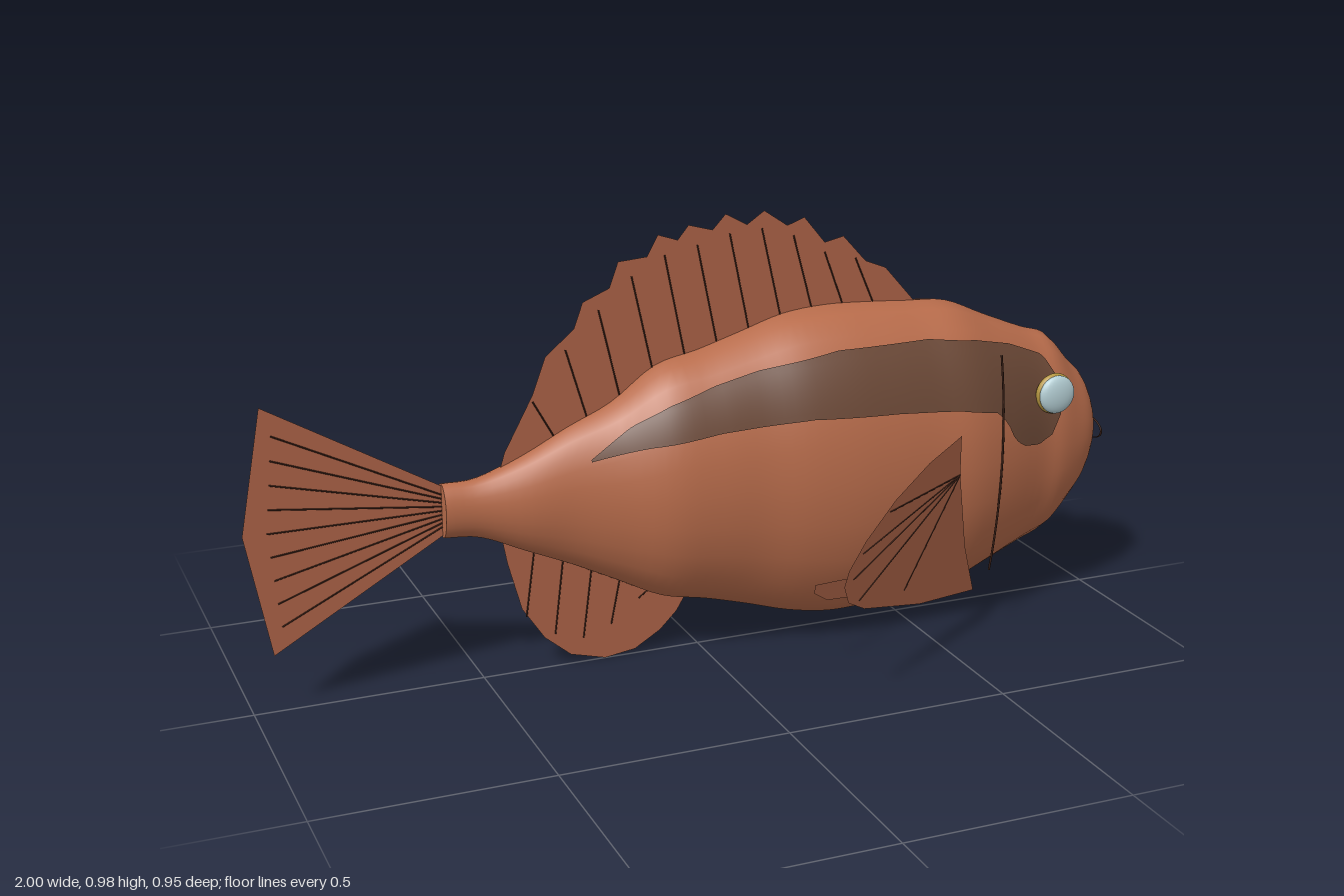
import * as THREE from 'three';

const mat = (name, color, side = THREE.FrontSide) => {
  const m = new THREE.MeshStandardMaterial({ color, side });
  m.name = name;
  return m;
};

// Body stations: x, top y, bottom y, half width
const STATIONS = [
  [-0.58, 0.46, 0.34, 0.035], [-0.5, 0.463, 0.33, 0.04], [-0.4, 0.5, 0.285, 0.06],
  [-0.3, 0.55, 0.24, 0.075], [-0.2, 0.595, 0.19, 0.105], [-0.1, 0.665, 0.14, 0.145],
  [0, 0.69, 0.118, 0.16], [0.1, 0.72, 0.09, 0.17], [0.2, 0.75, 0.06, 0.19],
  [0.3, 0.76, 0.043, 0.2], [0.4, 0.757, 0.045, 0.2], [0.5, 0.75, 0.053, 0.196],
  [0.6, 0.742, 0.062, 0.195], [0.7, 0.7, 0.1, 0.168], [0.8, 0.66, 0.14, 0.132],
  [0.86, 0.64, 0.165, 0.123], [0.91, 0.585, 0.215, 0.105], [0.95, 0.545, 0.265, 0.085],
  [0.975, 0.495, 0.32, 0.06], [0.985, 0.45, 0.355, 0.035],
];
const STEPS = 76, SIDES = 24;

const sampleCurve = (pick) => new THREE.CatmullRomCurve3(
  STATIONS.map(pick), false, 'catmullrom', 0.5).getPoints(STEPS);
const heights = sampleCurve(s => new THREE.Vector3(s[0], s[1], s[2]));
const widths = sampleCurve(s => new THREE.Vector3(s[0], s[3], 0));
const RINGS = heights.map((h, i) => [h.x, h.y, h.z, widths[i].y]);

// Linear lookup in rows sorted by their first value
function lookup(rows, x, k = 1) {
  let i = 1;
  while (i < rows.length - 1 && rows[i][0] < x) i++;
  const a = rows[i - 1], b = rows[i];
  const t = THREE.MathUtils.clamp((x - a[0]) / (b[0] - a[0]), 0, 1);
  return a[k] + (b[k] - a[k]) * t;
}

function meshGeometry(pos, idx) {
  const g = new THREE.BufferGeometry();
  g.setAttribute('position', new THREE.Float32BufferAttribute(pos, 3));
  g.setIndex(idx);
  g.computeVertexNormals();
  return g;
}

// Oval rings lofted along x, closed at the snout
function bodyGeometry() {
  const pos = [], idx = [];
  for (const [x, top, bot, w] of RINGS) {
    for (let j = 0; j < SIDES; j++) {
      const a = j / SIDES * Math.PI * 2;
      pos.push(x, (top + bot) / 2 + (top - bot) / 2 * Math.cos(a), w * Math.sin(a));
    }
  }
  for (let i = 0; i < RINGS.length - 1; i++) for (let j = 0; j < SIDES; j++) {
    const k = (j + 1) % SIDES, a = i * SIDES + j, b = i * SIDES + k;
    idx.push(a, b, a + SIDES, b, b + SIDES, a + SIDES);
  }
  const last = (RINGS.length - 1) * SIDES, tip = RINGS.length * SIDES;
  pos.push(0.99, 0.4, 0);
  for (let j = 0; j < SIDES; j++) idx.push(last + j, last + (j + 1) % SIDES, tip);
  return meshGeometry(pos, idx);
}

// Side band lying just over the skin, widening down around the eye
const BAND_TOP = [[-0.27, 0.495], [-0.18, 0.56], [-0.1, 0.602], [0, 0.635], [0.1, 0.66],
  [0.28, 0.69], [0.5, 0.69], [0.62, 0.675], [0.72, 0.65], [0.815, 0.612], [0.845, 0.56]];
const BAND_LOW = [[-0.27, 0.49], [-0.15, 0.518], [0, 0.542], [0.2, 0.557], [0.4, 0.55],
  [0.55, 0.538], [0.65, 0.52], [0.68, 0.49], [0.7, 0.45], [0.73, 0.428], [0.78, 0.42],
  [0.82, 0.435], [0.845, 0.48]];
function bandGeometry(side) {
  const pos = [], idx = [], cols = 90, rows = 8;
  for (let i = 0; i <= cols; i++) {
    const x = -0.27 + 1.115 * i / cols;
    const top = lookup(RINGS, x), bot = lookup(RINGS, x, 2), w = lookup(RINGS, x, 3) + 0.004;
    const y0 = lookup(BAND_LOW, x), y1 = lookup(BAND_TOP, x);
    for (let j = 0; j <= rows; j++) {
      const y = y0 + (y1 - y0) * j / rows;
      const c = (y - (top + bot) / 2) / ((top - bot) / 2 + 0.004);
      pos.push(x, y, side * w * Math.sqrt(Math.max(0, 1 - c * c)));
    }
  }
  for (let i = 0; i < cols; i++) for (let j = 0; j < rows; j++) {
    const a = i * (rows + 1) + j, b = a + rows + 1;
    if (side > 0) idx.push(a, b, a + 1, b, b + 1, a + 1);
    else idx.push(a, a + 1, b, b, a + 1, b + 1);
  }
  return meshGeometry(pos, idx);
}

// Flat fin from an outline; depth gives z for each x
function finGeometry(points, depth = () => 0) {
  const g = new THREE.ShapeGeometry(new THREE.Shape(points.map(p => new THREE.Vector2(...p))));
  const p = g.attributes.position;
  for (let i = 0; i < p.count; i++) p.setZ(i, depth(p.getX(i)));
  g.computeVertexNormals();
  return g;
}

const DORSAL_EDGE = [[-0.455, 0.46], [-0.44, 0.51], [-0.375, 0.63], [-0.345, 0.71], [-0.28, 0.765],
  [-0.26, 0.82], [-0.2, 0.845], [-0.18, 0.9], [-0.115, 0.905], [-0.09, 0.95], [-0.045, 0.935],
  [-0.02, 0.965], [0.035, 0.95], [0.065, 0.982], [0.115, 0.955], [0.155, 0.982], [0.21, 0.945],
  [0.25, 0.96], [0.3, 0.9], [0.345, 0.91], [0.4, 0.85], [0.45, 0.83], [0.53, 0.74]];
const ANAL_FIN = [[-0.455, 0.34], [-0.44, 0.26], [-0.41, 0.15], [-0.36, 0.075], [-0.3, 0.025],
  [-0.22, 0.004], [-0.15, 0.014], [-0.09, 0.05], [-0.05, 0.09], [-0.02, 0.14], [-0.2, 0.3]];
const TAIL_FIN = [[-0.57, 0.45], [-0.95, 0.67], [-1, 0.4], [-0.95, 0.13], [-0.57, 0.35]];
const PECTORAL = [[0.54, 0.49], [0.42, 0.467], [0.3, 0.425], [0.2, 0.37], [0.145, 0.325],
  [0.13, 0.295], [0.145, 0.255], [0.2, 0.22], [0.4, 0.15], [0.61, 0.1], [0.57, 0.22], [0.54, 0.4]];
const PELVIC = [[0.36, 0.16], [0.25, 0.2], [0.16, 0.222], [0.155, 0.205], [0.2, 0.172],
  [0.3, 0.142], [0.36, 0.14]];

export function createModel() {
  const skin = mat('copper skin', 0xb86c4b);
  const fin = mat('fin copper', 0xac6347, THREE.DoubleSide);
  const bandMat = mat('brown band', 0x6b4836);
  const dark = mat('dark line', 0x40241a);
  const gold = mat('eye gold', 0xb3943f);
  const pale = mat('eye pale blue', 0xb4ced4);

  const model = new THREE.Group();
  model.name = 'fish';
  const add = (name, geo, material, parent = model) => {
    const m = new THREE.Mesh(geo, material);
    m.name = name;
    parent.add(m);
    return m;
  };
  // Thin rod between two points
  const ray = (name, a, b, r = 0.0017) => add(name, new THREE.TubeGeometry(
    new THREE.LineCurve3(new THREE.Vector3(...a), new THREE.Vector3(...b)), 1, r, 4), dark);

  // Body
  add('body', bodyGeometry(), skin);
  const stub = add('tailStump', new THREE.CircleGeometry(1, SIDES), skin);
  stub.scale.set(0.035, 0.06, 1);
  stub.rotation.y = -Math.PI / 2;
  stub.position.set(-0.58, 0.4, 0);

  // Middle fins
  const base = [[0.53, 0.7], [0.3, 0.7], [0, 0.62], [-0.2, 0.53], [-0.4, 0.44]];
  add('dorsalFin', finGeometry([...DORSAL_EDGE, ...base]), fin);
  add('analFin', finGeometry(ANAL_FIN), fin);
  add('tailFin', finGeometry(TAIL_FIN), fin);
  for (let i = 0; i < 11; i++) {
    const x = -0.33 + i * 0.075, tx = x - 0.045;
    const y = lookup(RINGS, x), edge = lookup(DORSAL_EDGE, tx);
    ray('dorsalRay', [x, y, 0], [tx, y + (edge - y) * 0.85, 0]);
  }
  for (let i = 0; i < 5; i++) {
    const x = -0.38 + i * 0.065;
    ray('analRay', [x, lookup(RINGS, x, 2), 0], [x - 0.02, 0.13 - 0.07 * Math.sin(i * 0.8), 0]);
  }
  for (let i = -4; i <= 4; i++) {
    ray('tailRay', [-0.58, 0.4 + i * 0.009, 0], [-0.95 + Math.abs(i) * 0.005, 0.4 + i * 0.052, 0]);
  }

  // Paired parts
  for (const s of [1, -1]) {
    const side = s > 0 ? 'right' : 'left';
    const spread = x => s * (0.165 + (0.61 - x) * 0.645);
    add(side + 'Band', bandGeometry(s), bandMat);
    add(side + 'PectoralFin', finGeometry(PECTORAL, spread), fin);
    add(side + 'PelvicFin', finGeometry(PELVIC, x => s * (0.28 - (x - 0.155) * 0.62)), fin);
    for (const [x, y] of [[0.28, 0.405], [0.19, 0.345], [0.16, 0.3], [0.18, 0.245], [0.34, 0.205]]) {
      ray(side + 'PectoralRay', [0.54, 0.4, spread(0.54)], [x, y, spread(x)]);
    }

    // Gill slit
    const gill = new THREE.QuadraticBezierCurve3(new THREE.Vector3(0.648, 0.655, s * 0.181),
      new THREE.Vector3(0.68, 0.4, s * 0.181), new THREE.Vector3(0.64, 0.15, s * 0.181));
    add(side + 'GillSlit', new THREE.TubeGeometry(gill, 16, 0.0025, 5), dark);

    // Eye
    const eye = new THREE.Group();
    eye.name = side + 'Eye';
    eye.position.set(0.82, 0.533, s * 0.13);
    model.add(eye);
    add('eyeRim', new THREE.SphereGeometry(1, 24, 16), gold, eye).scale.set(0.047, 0.047, 0.02);
    const iris = add('eyeLens', new THREE.SphereGeometry(1, 24, 16), pale, eye);
    iris.scale.set(0.044, 0.044, 0.016);
    iris.position.z = s * 0.011;
  }

  // Lips
  const mouth = add('mouth', new THREE.TorusGeometry(0.065, 0.0025, 6, 32), dark);
  mouth.rotation.y = Math.PI / 2;
  mouth.scale.y = 0.4;
  mouth.position.set(0.993, 0.4, 0);

  return model;
}
